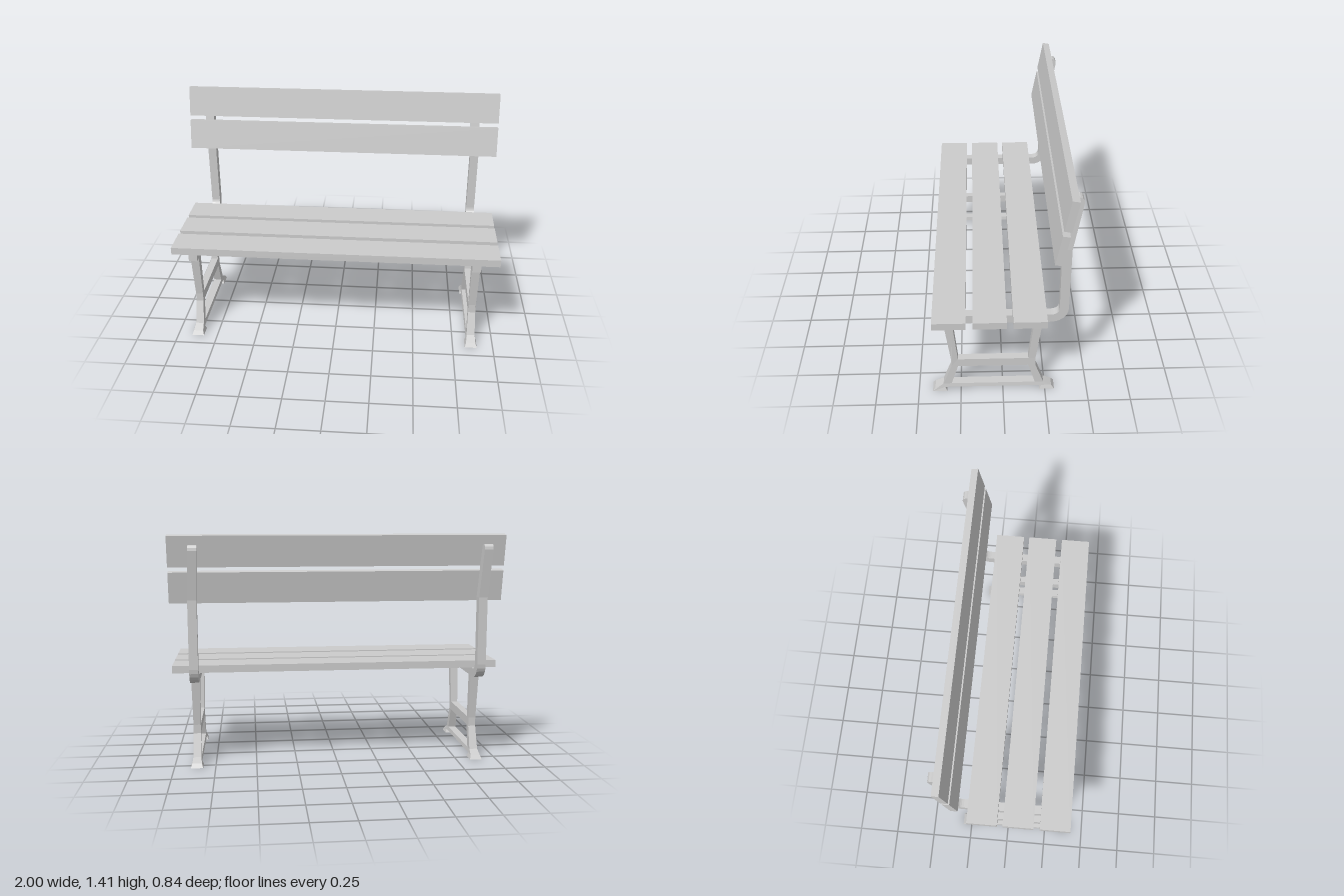
import * as THREE from 'three';

const material = new THREE.MeshStandardMaterial({ color: 0xcccccc, flatShading: true });

// Extrudes a (z, y) side profile along x, centred on x = 0
function extrudeSide(shape, width) {
  const geometry = new THREE.ExtrudeGeometry(shape, { depth: width, bevelEnabled: false, curveSegments: 6 });
  geometry.translate(0, 0, -width / 2);
  geometry.rotateY(-Math.PI / 2); // profile x -> z, depth -> -x
  return geometry;
}

function polygon(points, Type = THREE.Shape) {
  return new Type(points.map(([z, y]) => new THREE.Vector2(z, y)));
}

// Moves x of every vertex by a rule of (x, y)
function bendX(geometry, rule) {
  const p = geometry.attributes.position;
  for (let i = 0; i < p.count; i++) p.setX(i, rule(p.getX(i), p.getY(i)));
  geometry.computeVertexNormals();
  return geometry;
}

function addMesh(parent, name, geometry) {
  const mesh = new THREE.Mesh(geometry, material);
  mesh.name = name;
  parent.add(mesh);
  return mesh;
}

// Leg width along y: flared at the foot, slim in the middle
const widths = [[0, 0.075], [0.025, 0.058], [0.05, 0.05], [0.24, 0.044], [0.53, 0.052]];
function legWidth(y) {
  const i = Math.max(1, widths.findIndex(([level]) => y <= level + 1e-6));
  const [y0, w0] = widths[i - 1], [y1, w1] = widths[i];
  return THREE.MathUtils.lerp(w0, w1, (y - y0) / (y1 - y0));
}

// Two splayed legs joined by a stretcher and a thin floor bar
function legGeometry() {
  const shape = polygon([
    [0.34, 0.53], [0.303, 0.242], [0.303, 0.188], [0.353, 0.05], [0.402, 0.025], [0.418, 0],
    [0.333, 0], [0.343, 0.025], [-0.228, 0.025], [-0.217, 0], [-0.306, 0], [-0.288, 0.025],
    [-0.24, 0.05], [-0.19, 0.188], [-0.19, 0.242], [-0.225, 0.53],
  ]);
  // openings wind opposite to the outline so their walls face inward
  shape.holes.push(
    polygon([[-0.177, 0.526], [-0.148, 0.242], [0.263, 0.242], [0.29, 0.526]], THREE.Path),
    polygon([[-0.148, 0.188], [-0.19, 0.05], [0.305, 0.05], [0.263, 0.188]], THREE.Path),
  );
  return bendX(extrudeSide(shape, 1), (x, y) => x * legWidth(y));
}

// Seat rail curving up into the lower post
function railGeometry() {
  const s = new THREE.Shape();
  s.moveTo(0.38, 0.525);
  s.lineTo(-0.27, 0.525);
  s.bezierCurveTo(-0.325, 0.527, -0.367, 0.567, -0.367, 0.62);
  s.lineTo(-0.367, 1.03);
  s.lineTo(-0.312, 1.03);
  s.lineTo(-0.316, 0.62);
  s.quadraticCurveTo(-0.312, 0.58, -0.27, 0.578);
  s.lineTo(0.38, 0.578);
  s.closePath();
  return extrudeSide(s, 0.053);
}

// Upper post: tilted back, round tipped, leaning slightly sideways
function postGeometry() {
  const s = new THREE.Shape();
  s.moveTo(-0.312, 1.03);
  s.lineTo(-0.367, 1.03);
  s.lineTo(-0.417, 1.32);
  s.bezierCurveTo(-0.42, 1.358, -0.37, 1.363, -0.362, 1.33);
  s.closePath();
  return bendX(extrudeSide(s, 0.053), (x, y) => x - (y - 1.03) * 0.04);
}

export function createModel() {
  const bench = new THREE.Group();
  bench.name = 'bench';

  // Seat slats
  for (const z of [0.304, 0.077, -0.147]) {
    addMesh(bench, 'seatSlat', new THREE.BoxGeometry(2, 0.045, 0.188)).position.set(0, 0.6, z);
  }

  // Backrest slats, tilted with the posts
  for (const [y, z] of [[1.103, -0.3015], [1.316, -0.34]]) {
    const slat = addMesh(bench, 'backSlat', new THREE.BoxGeometry(2, 0.186, 0.042));
    slat.position.set(0, y, z);
    slat.rotation.x = -0.18;
  }

  // Side frames
  const leg = legGeometry(), rail = railGeometry(), post = postGeometry();
  for (const [name, x] of [['rightFrame', -0.873], ['leftFrame', 0.863]]) {
    const frame = new THREE.Group();
    frame.name = name;
    frame.position.x = x;
    addMesh(frame, 'legs', leg);
    addMesh(frame, 'seatRail', rail);
    addMesh(frame, 'backPost', post);
    bench.add(frame);
  }
  return bench;
}
